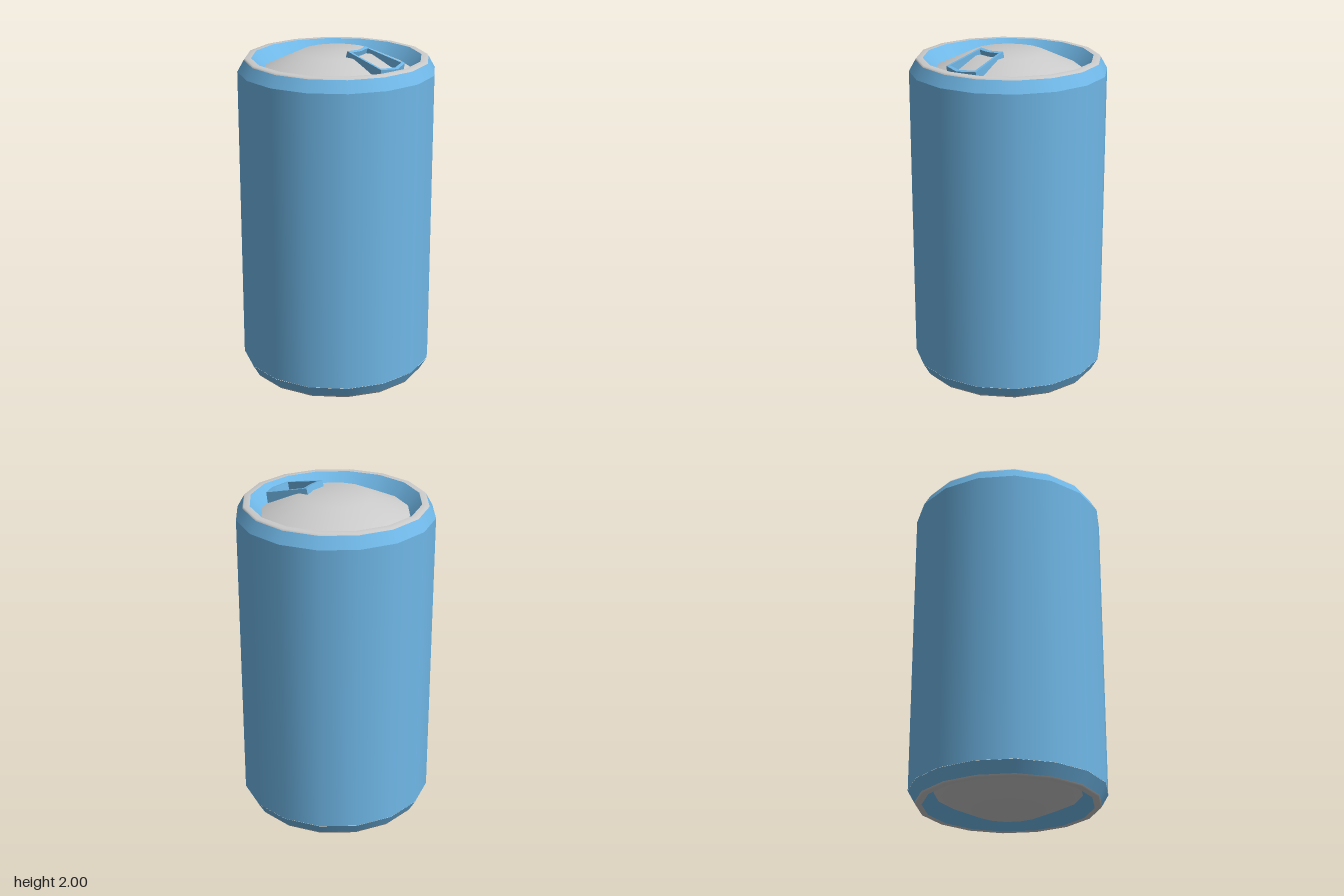
import * as THREE from 'three';

export function createModel() {
  const can = new THREE.Group();
  can.name = 'can';
  const blue = new THREE.MeshStandardMaterial({ color: 0x70b8e8 });
  const grey = new THREE.MeshStandardMaterial({ color: 0xcccccc });

  // One 16-sided band of the can; separate bands keep the edges between them sharp
  const band = (name, material, points) => {
    const profile = points.map(([r, y]) => new THREE.Vector2(r, y));
    const mesh = new THREE.Mesh(new THREE.LatheGeometry(profile, 16), material);
    mesh.name = name;
    can.add(mesh);
  };

  // Side wall
  band('body', blue, [[0.57, 0.105], [0.57, 1.86]]);

  // Each end: shoulder, rim, sloped recess wall and domed panel, mirrored top to bottom
  const ends = [
    ['Shoulder', blue, [[0.57, 1.86], [0.532, 1.927]]],
    ['Rim', grey, [[0.532, 1.927], [0.525, 1.937], [0.49, 1.937]]],
    ['RecessWall', blue, [[0.49, 1.937], [0.425, 1.865]]],
    ['Dome', grey, [[0.425, 1.865], [0.21, 1.964], [0, 1.964]]],
  ];
  for (const [name, material, points] of ends) {
    band('top' + name, material, points);
    band('bottom' + name, material, points.map(([r, y]) => [r, 1.964 - y]).reverse());
  }

  // Pull tab: a six-cornered frame, tilted and thicker towards the rim
  const loop = (innerX, innerNotch, innerW, outerX, outerTip, outerW) => [
    [innerX, -innerW], [outerX, -outerW], [outerTip, 0],
    [outerX, outerW], [innerX, innerW], [innerNotch, 0],
  ].map(([x, z]) => new THREE.Vector2(x, z));
  const shape = new THREE.Shape(loop(0.132, 0.147, 0.083, 0.39, 0.425, 0.11));
  shape.holes.push(new THREE.Path(loop(0.157, 0.167, 0.07, 0.377, 0.403, 0.094).reverse()));
  const tabGeometry = new THREE.ExtrudeGeometry(shape, { depth: 1, bevelEnabled: false });
  tabGeometry.rotateX(-Math.PI / 2);
  const p = tabGeometry.attributes.position;
  for (let i = 0; i < p.count; i++) {
    const x = p.getX(i);
    const isTop = p.getY(i) > 0.5;
    p.setY(i, isTop ? 2 - 0.25 * (x - 0.132) : 1.963 - 0.35 * (x - 0.132));
    if (isTop) p.setX(i, x + 0.01);
  }
  tabGeometry.computeVertexNormals();
  const tab = new THREE.Mesh(tabGeometry, blue);
  tab.name = 'pullTab';
  can.add(tab);

  return can;
}
